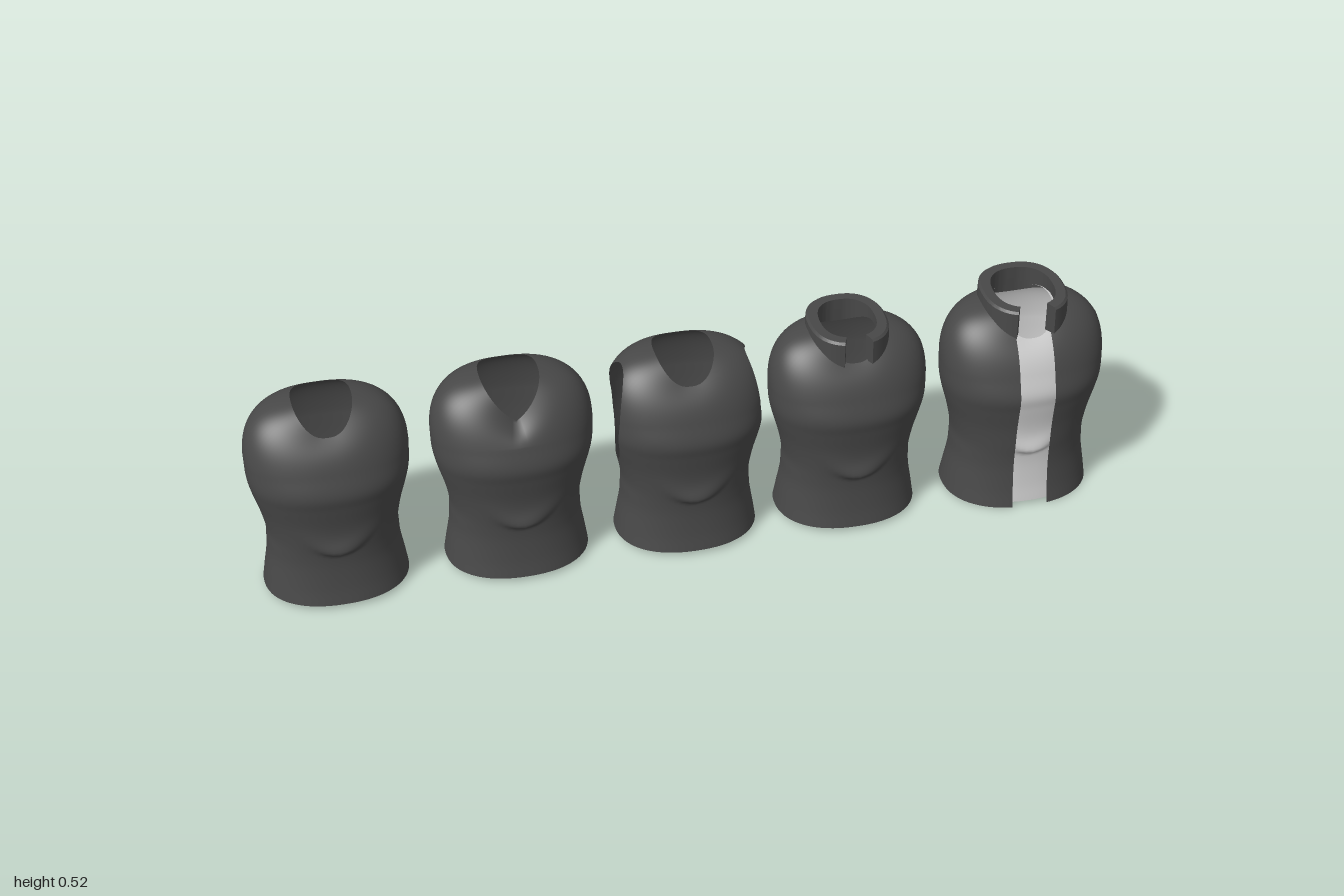
import * as THREE from 'three';
import { toCreasedNormals } from 'three/addons/utils/BufferGeometryUtils.js';

const dark = new THREE.MeshStandardMaterial({ color: 0x484848, side: THREE.DoubleSide });
const light = new THREE.MeshStandardMaterial({ color: 0xcccccc, side: THREE.DoubleSide });

// Torso sections from hem to chest: y, half width, front z, back z
const SECTIONS = [
  [0.01, 0.166, 0.132, -0.12], [0.05, 0.16, 0.124, -0.108], [0.1, 0.152, 0.118, -0.098],
  [0.135, 0.15, 0.117, -0.099], [0.17, 0.15, 0.119, -0.103], [0.22, 0.16, 0.121, -0.112],
  [0.27, 0.174, 0.127, -0.121], [0.31, 0.182, 0.131, -0.127], [0.36, 0.184, 0.115, -0.132],
];
const spline = (f) => new THREE.CatmullRomCurve3(SECTIONS.map(f), false, 'catmullrom');
const sideCurve = spline(([y, w]) => new THREE.Vector3(w, y, 0));
const depthCurve = spline(([, , f, b]) => new THREE.Vector3(f, b, 0));
const spow = (v, e) => Math.sign(v) * Math.abs(v) ** e;

// Point on the torso at angle a, height parameter t from hem (0) to chest (1)
function torsoPoint(a, t, grow) {
  const s = sideCurve.getPoint(t), d = depthCurve.getPoint(t);
  const c = Math.cos(a), n = Math.sin(a), e = 2 / 2.25;
  const x = (s.x + grow) * spow(c, e);
  let z = (n > 0 ? d.x + grow : -d.y + grow) * spow(n, e);
  const y = s.y - grow * 1.25 * (1 - t);
  if (n > 0 && grow === 0) {
    // curved fold below the chest
    const h = y - (0.15 + 6 * x * x);
    z += 0.014 * Math.exp(-((x / 0.05) ** 2)) * Math.exp(-((h / (h < 0 ? 0.008 : 0.028)) ** 2));
  }
  return new THREE.Vector3(x, y, z);
}

// Neckline edge at angle a, round or V shaped
function neckPoint(a, grow, vNeck) {
  const n = Math.sin(a), e = 2 / 2.5, w = 0.067 + grow;
  const x = w * spow(Math.cos(a), e);
  let z = -0.015 + (0.085 + grow) * spow(n, e);
  let y = 0.484 + grow * 0.5 - (n > 0 ? 0.052 : 0.018) * n * n;
  if (vNeck && n > 0) {
    const m = 1 - Math.abs(x) / w;
    z = Math.min(z, 0.05 + 0.036 * m);
    y = 0.484 - 0.025 * n * n - 0.054 * m;
  }
  return new THREE.Vector3(x, y, z);
}

// Open torso shell: lower body rings, then shoulders curving in to the neckline
function torsoGeometry({ grow = 0, vNeck = false } = {}) {
  const N = 80, LOW = 50, HIGH = 20, pos = [], idx = [];
  const shoulders = [];
  for (let i = 0; i < N; i++) {
    const a = (i / N) * Math.PI * 2, f = Math.max(0, Math.sin(a));
    const p = torsoPoint(a, 1, grow), q = neckPoint(a, grow, vNeck);
    const c1 = p.clone().lerp(q, 0.25 * f);
    c1.y = p.y + (q.y - p.y) * (0.8 - 0.35 * f);
    const c2 = p.clone().lerp(q, 0.5);
    c2.y = q.y - 0.009 - 0.015 * f;
    shoulders.push(new THREE.CubicBezierCurve3(p, c1, c2, q));
  }
  for (let j = 0; j <= LOW + HIGH; j++) {
    for (let i = 0; i < N; i++) {
      const p = j <= LOW
        ? torsoPoint((i / N) * Math.PI * 2, j / LOW, grow)
        : shoulders[i].getPoint((j - LOW) / HIGH);
      pos.push(p.x, p.y, p.z);
      if (j === LOW + HIGH) continue;
      const A = j * N + i, B = j * N + ((i + 1) % N);
      idx.push(A, A + N, B, B, A + N, B + N);
    }
  }
  const g = new THREE.BufferGeometry();
  g.setAttribute('position', new THREE.Float32BufferAttribute(pos, 3));
  g.setIndex(idx);
  g.computeVertexNormals();
  return g;
}

// Trim a geometry cleanly, keeping the side where keep(p) is positive
function trim(geometry, keep) {
  const src = geometry.toNonIndexed(), P = src.attributes.position, M = src.attributes.normal;
  const pos = [], nor = [];
  for (let i = 0; i < P.count; i += 3) {
    const tri = [0, 1, 2].map((k) => {
      const p = new THREE.Vector3().fromBufferAttribute(P, i + k);
      return { p, n: new THREE.Vector3().fromBufferAttribute(M, i + k), f: keep(p) };
    });
    const poly = [];
    tri.forEach((u, k) => {
      const v = tri[(k + 1) % 3];
      if (u.f >= 0) poly.push(u);
      if (u.f >= 0 !== v.f >= 0) {
        const t = u.f / (u.f - v.f);
        poly.push({ p: u.p.clone().lerp(v.p, t), n: u.n.clone().lerp(v.n, t).normalize() });
      }
    });
    for (let k = 2; k < poly.length; k++) {
      for (const v of [poly[0], poly[k - 1], poly[k]]) {
        pos.push(...v.p.toArray());
        nor.push(...v.n.toArray());
      }
    }
  }
  const g = new THREE.BufferGeometry();
  g.setAttribute('position', new THREE.Float32BufferAttribute(pos, 3));
  g.setAttribute('normal', new THREE.Float32BufferAttribute(nor, 3));
  return g;
}

// Folded collar: a wedge section swept round the neck with a gap at the front
function collarGeometry({ width, depth, zc, top, side, gap }) {
  const N = 64, e = 2 / 2.4, pos = [], idx = [];
  const d = Math.asin((gap / width) ** (1 / e));
  for (let i = 0; i <= N; i++) {
    const a = Math.PI / 2 + d + (i / N) * (Math.PI * 2 - 2 * d);
    const c = spow(Math.cos(a), e), n = spow(Math.sin(a), e);
    const tip = Math.max(0, 1 - Math.min(i, N - i) / 8);
    const low = side - (n > 0 ? 0.038 : 0.033) * n * n - 0.008 * tip;
    const profile = [[-0.028, low - 0.004], [-0.028, top], [-0.006, top], [-0.001, top - 0.005], [0, low]];
    for (const [o, y] of profile) pos.push((width + o) * c, y, zc + (depth + o) * n);
    if (i === N) continue;
    for (let k = 0; k < 5; k++) {
      const A = i * 5 + k, B = i * 5 + ((k + 1) % 5);
      idx.push(A, B, A + 5, B, B + 5, A + 5);
    }
  }
  const E = N * 5;
  for (let k = 1; k < 4; k++) idx.push(0, k + 1, k, E, E + k, E + k + 1);
  const g = new THREE.BufferGeometry();
  g.setAttribute('position', new THREE.Float32BufferAttribute(pos, 3));
  g.setIndex(idx);
  return toCreasedNormals(g, 0.7);
}

export function createModel() {
  const model = new THREE.Group();
  model.name = 'shirtSet';
  const garment = (name, x, parts) => {
    const group = new THREE.Group();
    group.name = name;
    group.position.x = x;
    for (const [part, geometry, material = dark] of parts) {
      const mesh = new THREE.Mesh(geometry, material);
      mesh.name = part;
      group.add(mesh);
    }
    model.add(group);
  };

  const armhole = (p) => ((p.y - 0.335) / 0.125) ** 2 + ((p.z + 0.01) / 0.072) ** 2 - 1;
  const frontOpening = (p) => (p.z > 0 ? Math.abs(p.x) - 0.042 : 1);

  garment('roundNeckShirt', -0.816, [['roundNeckBody', torsoGeometry()]]);
  garment('vNeckShirt', -0.397, [['vNeckBody', torsoGeometry({ vNeck: true })]]);
  garment('sleevelessShirt', 0.003, [['sleevelessBody', trim(torsoGeometry(), armhole)]]);
  garment('collaredShirt', 0.388, [
    ['collaredBody', torsoGeometry()],
    ['shirtCollar', collarGeometry({ width: 0.092, depth: 0.105, zc: -0.015, top: 0.5, side: 0.479, gap: 0.033 })],
  ]);
  garment('openJacket', 0.808, [
    ['innerShirt', torsoGeometry(), light],
    ['jacketBody', trim(torsoGeometry({ grow: 0.008 }), frontOpening)],
    ['jacketCollar', collarGeometry({ width: 0.099, depth: 0.11, zc: -0.0175, top: 0.517, side: 0.489, gap: 0.045 })],
  ]);
  return model;
}
